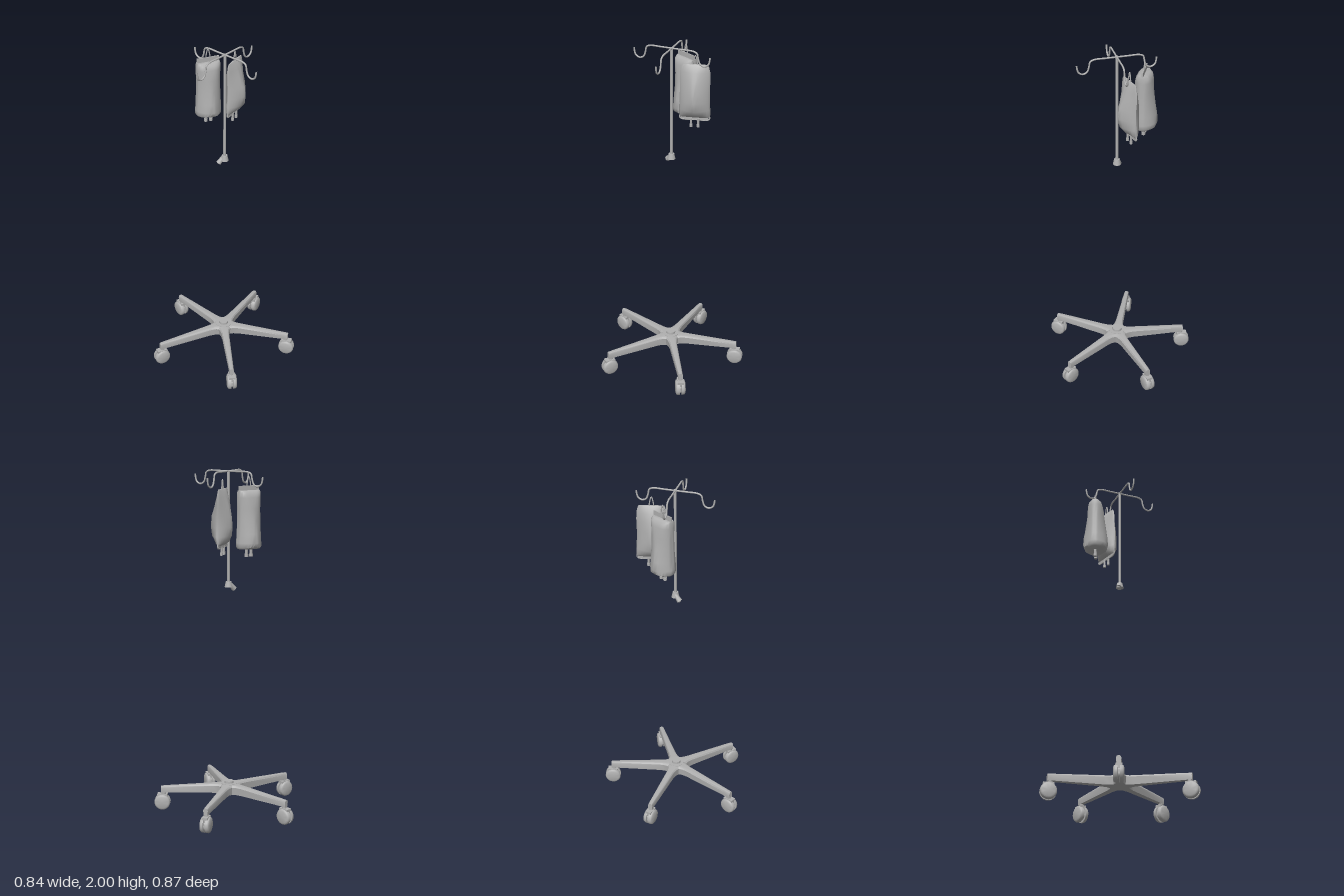
import * as THREE from 'three';
import { toCreasedNormals } from 'three/addons/utils/BufferGeometryUtils.js';

const grey = new THREE.MeshStandardMaterial({ color: 0xb0b0b0 });
grey.name = 'plain grey';
const V = (x, y, z) => new THREE.Vector3(x, y, z);
const POLE_X = 0.042;

function add(parent, name, geometry, x = 0, y = 0, z = 0) {
  const mesh = new THREE.Mesh(geometry, grey);
  mesh.name = name;
  mesh.position.set(x, y, z);
  parent.add(mesh);
  return mesh;
}

function group(parent, name, x = 0, y = 0, z = 0, turn = 0) {
  const g = new THREE.Group();
  g.name = name;
  g.position.set(x, y, z);
  g.rotation.y = turn;
  parent.add(g);
  return g;
}

const rod = (r0, r1, h, sides = 12) => new THREE.CylinderGeometry(r0, r1, h, sides);
const wire = (points, r, steps = 32) =>
  new THREE.TubeGeometry(new THREE.CatmullRomCurve3(points), steps, r, 8);

// Skin over matching rings of points, closed at both ends
function loft(rings, crease = 0.7) {
  const n = rings[0].length, pos = [], index = [];
  rings.forEach(ring => ring.forEach(p => pos.push(p.x, p.y, p.z)));
  for (let i = 0; i < rings.length - 1; i++) {
    for (let j = 0; j < n; j++) {
      const a = i * n + j, b = i * n + (j + 1) % n;
      index.push(a, b, b + n, a, b + n, a + n);
    }
  }
  [0, rings.length - 1].forEach(i => {
    const mid = rings[i].reduce((s, p) => s.add(p), V(0, 0, 0)).divideScalar(n);
    const c = pos.length / 3;
    pos.push(mid.x, mid.y, mid.z);
    for (let j = 0; j < n; j++) {
      const a = i * n + j, b = i * n + (j + 1) % n;
      if (i) index.push(c, a, b); else index.push(c, b, a);
    }
  });
  const g = new THREE.BufferGeometry();
  g.setAttribute('position', new THREE.Float32BufferAttribute(pos, 3));
  g.setIndex(index);
  return toCreasedNormals(g, crease);
}

// Superellipse coordinates: power 2 is round, higher is boxier, 1 is a diamond
function oval(a, power) {
  const f = t => Math.sign(t) * Math.pow(Math.abs(t), 2 / power);
  return [f(Math.cos(a)), f(Math.sin(a))];
}

// Tapered base leg along +x: sections are [x, bottom, top, half width]
function legGeometry(length) {
  const sections = [[0, 0.108, 0.168, 0.05], [0.04, 0.108, 0.167, 0.042], [0.065, 0.109, 0.166, 0.028],
    [0.1, 0.109, 0.165, 0.0225], [length - 0.02, 0.106, 0.148, 0.015], [length + 0.015, 0.104, 0.145, 0.014]];
  return loft(sections.map(([x, y0, y1, w]) => [
    [y0, -w * 0.85], [y1 - 0.012, -w], [y1 - 0.003, -w * 0.75], [y1, -w * 0.3],
    [y1, w * 0.3], [y1 - 0.003, w * 0.75], [y1 - 0.012, w], [y0, w * 0.85],
  ].reverse().map(([y, z]) => V(x, y, -z)).reverse().map(p => V(p.x, p.y, -p.z)).reverse()
    .map(p => V(p.x, p.y, -p.z)).reverse().map(p => V(p.x, p.y, -p.z))), 0.6);
}

// Bag body from sections [y, half width, half depth, power, depth shift]
function bagGeometry(sections) {
  return loft(sections.map(([y, w, d, power, shift = 0]) =>
    Array.from({ length: 32 }, (_, i) => {
      const [u, v] = oval(i / 32 * Math.PI * 2, power);
      const fold = 1 + 0.035 * Math.sin(i * 1.18 + y * 23);
      return V(v * w, y, u * d * fold + shift);
    })), 0.9);
}

// Twin-wheel caster rolling along x
function addCaster(parent, x, z, turn) {
  const caster = group(parent, 'caster', x, 0, z, turn);
  const half = [[0, 0.029], [0.034, 0.029], [0.043, 0.025], [0.047, 0.017], [0.047, 0.006], [0.036, 0.005]];
  const profile = [...half.map(([r, h]) => new THREE.Vector2(r, -h)),
    ...half.slice().reverse().map(([r, h]) => new THREE.Vector2(r, h))];
  add(caster, 'casterWheels', toCreasedNormals(new THREE.LatheGeometry(profile, 24), 0.7), 0, 0.048, 0)
    .rotation.x = Math.PI / 2;
  add(caster, 'casterHood', new THREE.BoxGeometry(0.06, 0.04, 0.036), 0, 0.077, 0);
  return caster;
}

// Drip ports under a bag
function addPorts(bag, y, spread, r) {
  [-1, 1].forEach(s => {
    add(bag, 'port', rod(r, r * 0.85, 0.05), s * spread, y - 0.02, 0);
    add(bag, 'portCap', rod(r * 1.25, r * 1.25, 0.016), s * spread, y - 0.038, 0);
  });
}

// Hanging tab above a bag
function addTab(bag, y) {
  add(bag, 'hangingLoop', wire([V(-0.012, y - 0.02, 0), V(-0.011, y + 0.02, 0), V(0, y + 0.058, 0),
    V(0.011, y + 0.02, 0), V(0.012, y - 0.02, 0)], 0.0035));
}

export function createModel() {
  const model = new THREE.Group();
  model.name = 'drip stand';

  // Five-legged base: leg tip x, z and caster direction x, z
  const base = group(model, 'base');
  [[-0.37, -0.013, 1, 0], [-0.068, -0.38, 0.16, 0.98], [0.363, -0.214, 0.82, -0.57],
    [0.345, 0.24, 0.75, 0.66], [-0.098, 0.376, -0.35, 0.93]].forEach(([x, z, cx, cz]) => {
    const dx = x - 0.04, length = Math.hypot(dx, z);
    const leg = group(base, 'leg', 0.04, 0, 0, Math.atan2(-z, dx));
    add(leg, 'legBeam', legGeometry(length));
    add(leg, 'casterStem', rod(0.013, 0.013, 0.045), length, 0.105, 0);
    addCaster(base, x * 1.015, z * 1.02, Math.atan2(-cz, cx));
  });
  add(base, 'hub', rod(0.048, 0.05, 0.06, 30), 0.04, 0.138, 0);
  add(base, 'poleSocket', rod(0.027, 0.03, 0.03, 10), 0.04, 0.165, 0);

  // Upper pole with its clamp knob
  add(model, 'pole', rod(0.008, 0.008, 0.65, 16), POLE_X, 1.675, 0);
  add(model, 'poleCollar', rod(0.016, 0.023, 0.032, 16), POLE_X, 1.356, 0);
  const knob = add(model, 'clampKnob', rod(0.011, 0.016, 0.045, 10), 0.022, 1.343, -0.006);
  knob.rotation.z = -0.75;
  add(model, 'knobEnd', new THREE.SphereGeometry(0.013, 12, 8), 0.012, 1.331, -0.008);

  // Four hooks around the pole top
  for (let i = 0; i < 4; i++) {
    const hook = group(model, 'hook', POLE_X, 0, 0, 0.375 + i * Math.PI / 2);
    add(hook, 'hookWire', wire([V(0, 1.995, 0), V(0.06, 1.995, 0), V(0.125, 1.994, 0), V(0.146, 1.984, 0),
      V(0.153, 1.955, 0), V(0.164, 1.927, 0), V(0.187, 1.917, 0), V(0.21, 1.929, 0),
      V(0.218, 1.952, 0), V(0.22, 1.972, 0)], 0.005, 48));
  }
  add(model, 'poleCap', rod(0.009, 0.009, 0.012), POLE_X, 1.994, 0);

  // Full bag at the back
  const fullBag = group(model, 'fullBag', 0.012, 0, -0.146, -0.1);
  add(fullBag, 'fullBagBody', bagGeometry([[1.575, 0.066, 0.045, 2.2], [1.585, 0.075, 0.068, 1.8],
    [1.61, 0.076, 0.075, 1.6], [1.66, 0.073, 0.07, 1.6], [1.73, 0.07, 0.06, 1.7], [1.8, 0.069, 0.053, 1.9],
    [1.86, 0.069, 0.047, 2.4], [1.885, 0.068, 0.04, 3], [1.898, 0.066, 0.026, 3]]));
  add(fullBag, 'fullBagSeam', new THREE.BoxGeometry(0.128, 0.035, 0.007), 0, 1.906, 0);
  addPorts(fullBag, 1.575, 0.015, 0.009);
  addTab(fullBag, 1.915);

  // Flatter bag at the side
  const flatBag = group(model, 'flatBag', 0.143, 0, -0.079, 0.588);
  add(flatBag, 'flatBagBody', bagGeometry([[1.6, 0.082, 0.008, 2.2], [1.615, 0.087, 0.032, 1.7],
    [1.65, 0.087, 0.055, 1.4, 0.004], [1.7, 0.084, 0.062, 1.3, 0.005], [1.76, 0.083, 0.058, 1.25, 0.005],
    [1.82, 0.084, 0.044, 1.25], [1.865, 0.083, 0.028, 1.4], [1.895, 0.076, 0.014, 1.8], [1.908, 0.07, 0.005, 2.2]]));
  add(flatBag, 'flatBagRim', wire([V(-0.082, 1.612, 0), V(-0.084, 1.594, 0), V(-0.074, 1.585, 0),
    V(0, 1.584, 0), V(0.074, 1.585, 0), V(0.084, 1.594, 0), V(0.082, 1.612, 0)], 0.0035));
  add(flatBag, 'flatBagHem', new THREE.BoxGeometry(0.155, 0.022, 0.005), 0, 1.595, 0);
  addPorts(flatBag, 1.587, 0.02, 0.007);
  addTab(flatBag, 1.9);

  return model;
}
